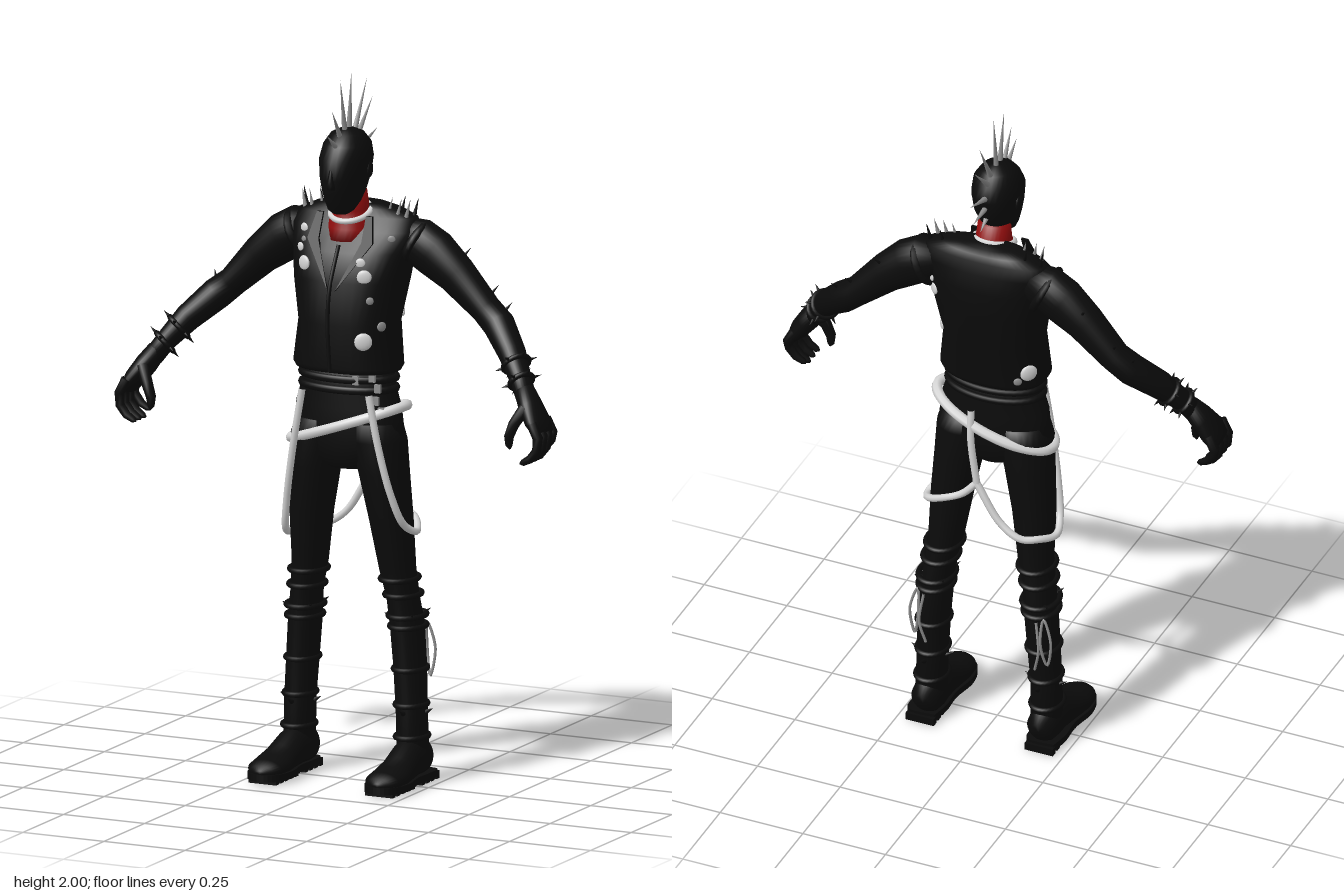
import * as THREE from 'three';

const V = (x, y, z) => new THREE.Vector3(x, y, z);
const mat = (name, color) => Object.assign(new THREE.MeshStandardMaterial({ color }), { name });

// Torso cross-sections: x, y, z, half width, half depth
const TORSO = [
  [0, 1.165, -.008, .15, .1], [0, 1.18, -.008, .158, .107], [0, 1.3, -.015, .143, .115],
  [0, 1.42, -.03, .165, .122], [0, 1.5, -.045, .178, .107], [0, 1.555, -.062, .192, .082],
  [0, 1.59, -.072, .178, .06], [0, 1.61, -.075, .13, .05], [0, 1.622, -.075, .08, .035],
];

// Skin over elliptical rings; level rings lie flat, others follow the path with depth axis ref
function loft(rows, { level = true, ref = V(0, 0, 1), n = 28, p = 1 } = {}) {
  const pos = [], idx = [], pw = a => Math.sign(a) * Math.abs(a) ** p;
  const c = rows.map(r => V(r[0], r[1], r[2])), m = rows.length;
  rows.forEach((r, i) => {
    let u = V(1, 0, 0), v = V(0, 0, -1);
    if (!level) {
      const t = c[Math.min(i + 1, m - 1)].clone().sub(c[Math.max(i - 1, 0)]).normalize();
      u = ref.clone().cross(t).normalize();
      v = t.clone().cross(u);
    }
    for (let j = 0; j < n; j++) {
      const a = j / n * Math.PI * 2;
      const q = c[i].clone().addScaledVector(u, pw(Math.cos(a)) * r[3]).addScaledVector(v, pw(Math.sin(a)) * r[4]);
      pos.push(q.x, q.y, q.z);
    }
  });
  pos.push(...c[0].toArray(), ...c[m - 1].toArray());
  for (let j = 0; j < n; j++) {
    const k = (j + 1) % n;
    for (let i = 0; i < m - 1; i++) {
      const a = i * n + j, b = i * n + k;
      idx.push(a, b, b + n, a, b + n, a + n);
    }
    idx.push(m * n, k, j, m * n + 1, (m - 1) * n + j, (m - 1) * n + k);
  }
  const g = new THREE.BufferGeometry();
  g.setAttribute('position', new THREE.Float32BufferAttribute(pos, 3));
  g.setIndex(idx);
  g.computeVertexNormals();
  return g;
}

const tube = (pts, r, closed = false, seg = 48) =>
  new THREE.TubeGeometry(new THREE.CatmullRomCurve3(pts, closed), seg, r, 8, closed);

export function createModel() {
  const model = new THREE.Group();
  const black = mat('black cloth', 0x0b0b0b), red = mat('red', 0x8f0c0c);
  const white = mat('white', 0xd6d6d6), steel = mat('steel', 0x8e8e8e);
  const add = (name, geo, m, parent = model) => {
    const mesh = new THREE.Mesh(geo, m);
    mesh.name = name;
    parent.add(mesh);
    return mesh;
  };
  const spike = (name, base, tip, r, m) => {
    const d = tip.clone().sub(base);
    const s = add(name, new THREE.ConeGeometry(r, d.length(), 8), m);
    s.position.copy(base).addScaledVector(d, .5);
    s.quaternion.setFromUnitVectors(V(0, 1, 0), d.normalize());
  };

  // Head and crest of spikes
  add('head', loft([
    [0, 1.608, .045, .022, .018], [0, 1.618, .04, .037, .034], [0, 1.64, .028, .048, .056],
    [0, 1.67, .02, .056, .078], [0, 1.71, .012, .064, .095], [0, 1.76, .007, .07, .096],
    [0, 1.8, 0, .064, .078], [0, 1.828, 0, .045, .052], [0, 1.842, 0, .016, .018],
  ]), black);
  add('nose', loft([[0, 1.685, .098, .012, .012], [0, 1.7, .102, .012, .014], [0, 1.74, .1, .005, .006]], { n: 10 }), black);
  for (const s of [-1, 1]) {
    const ear = add('ear', new THREE.SphereGeometry(.02, 12, 8), black);
    ear.scale.set(.35, 1.2, .8);
    ear.position.set(s * .066, 1.73, -.005);
  }
  const hub = V(0, 1.745, 0);
  for (const [z, y] of [[.13, 1.845], [.095, 1.905], [.045, 1.985], [-.025, 2], [-.12, 1.96],
    [-.155, 1.9], [-.185, 1.805], [-.165, 1.735], [-.115, 1.68]]) {
    const tip = V(0, y, z), dir = tip.clone().sub(hub).normalize();
    spike('crestSpike', hub.clone().addScaledVector(dir, .078), tip, .009, steel);
  }

  // Neck, shirt and choker
  add('redShirt', loft([
    [0, 1.528, -.02, .062, .07], [0, 1.56, -.025, .066, .064], [0, 1.595, -.027, .058, .058],
    [0, 1.61, -.025, .05, .052], [0, 1.665, -.018, .046, .045],
  ]), red);
  const choker = add('choker', new THREE.TorusGeometry(.056, .0085, 8, 36), white);
  choker.position.set(0, 1.602, -.02);
  choker.rotation.x = Math.PI / 2 + .35;

  // Jacket with lapels, zip edge, armholes
  add('jacket', loft(TORSO, { n: 40, p: .85 }), black);
  for (const s of [-1, 1]) {
    const shape = new THREE.Shape([[.012, 1.4], [.1, 1.53], [.085, 1.6], [.066, 1.6], [.066, 1.53]]
      .map(([x, y]) => new THREE.Vector2(s * x, y)));
    const geo = new THREE.ExtrudeGeometry(shape, { depth: .008, bevelEnabled: false });
    const p = geo.attributes.position;
    for (let i = 0; i < p.count; i++) p.setZ(i, p.getZ(i) + .095 - Math.max(0, p.getY(i) - 1.4) * .42);
    geo.computeVertexNormals();
    add('lapel', geo, black);
    const hole = add('armhole', new THREE.TorusGeometry(.062, .012, 8, 24), black);
    hole.position.set(s * .18, 1.515, -.072);
    hole.rotation.set(0, Math.PI / 2, s * -.45, 'ZYX');
  }
  add('zipEdge', tube([V(0, 1.52, .055), V(-.008, 1.4, .096), V(-.01, 1.3, .103), V(-.005, 1.17, .1)], .006), black);

  // Badges sit on the jacket surface
  const badge = (x, y, r, front, m = white) => {
    let i = TORSO.findIndex(t => t[1] > y);
    const a = TORSO[i - 1], b = TORSO[i], k = (y - a[1]) / (b[1] - a[1]);
    const [zc, rx, rz] = [2, 3, 4].map(j => a[j] + (b[j] - a[j]) * k), e = 2 / .85;
    const z = rz * (1 - Math.min(.98, Math.abs(x / rx) ** e)) ** (1 / e) * front;
    const d = add('badge', new THREE.SphereGeometry(r, 14, 10), m);
    d.scale.z = .35;
    d.position.set(x, y, zc + z);
    d.quaternion.setFromUnitVectors(V(0, 0, 1), V(x / rx ** 2, 0, z / rz ** 2).normalize());
  };
  for (const [x, y, r, f, m] of [
    [-.128, 1.547, .014, 1], [-.125, 1.5, .013, 1], [-.103, 1.46, .022, 1], [-.12, 1.52, .009, 1, steel],
    [.072, 1.477, .014, 1], [.088, 1.44, .021, 1], [.105, 1.375, .011, 1, steel], [.128, 1.3, .014, 1, steel],
    [.09, 1.26, .025, 1], [.14, 1.54, .011, 1, steel],
    [.15, 1.49, .014, -1], [.14, 1.455, .018, -1], [.13, 1.32, .015, -1], [-.13, 1.225, .025, -1], [-.105, 1.2, .012, -1, steel],
  ]) badge(x, y, r, f, m);

  // Shoulder spikes
  for (const s of [-1, 1]) for (const [x, z, m] of [[.1, -.05, steel], [.13, -.045, steel], [.155, -.05, steel], [.12, -.09, black], [.165, -.08, black]])
    spike('shoulderSpike', V(s * x, 1.59, z), V(s * (x + .012), 1.645, z - .005), .007, m);

  // Hips and trousers
  add('hips', loft([
    [0, .885, -.012, .06, .05], [0, .915, -.012, .13, .076], [0, .97, -.012, .168, .086],
    [0, 1.06, -.01, .158, .084], [0, 1.12, -.01, .14, .08], [0, 1.2, -.01, .132, .08],
  ], { n: 36 }), black);
  for (const y of [1.115, 1.145]) {
    const w = add('waistband', new THREE.TorusGeometry(.14, .011, 8, 40), black);
    w.rotation.x = Math.PI / 2;
    w.scale.y = .61;
    w.position.set(0, y, -.01);
  }
  for (const [x, y] of [[.06, 1.145], [.105, 1.155], [.12, 1.125], [.115, 1.09], [.13, 1.06]])
    add('buckle', new THREE.BoxGeometry(.018, .024, .009), steel).position.set(x, y, .084 - x * .25);

  for (const s of [-1, 1]) {
    add('leg', loft([
      [.175, .05, -.055, .044, .05], [.172, .2, -.052, .043, .05], [.165, .33, -.056, .044, .057],
      [.157, .44, -.055, .045, .06], [.148, .52, -.047, .043, .057], [.135, .6, -.04, .049, .06],
      [.122, .75, -.024, .06, .071], [.105, .88, -.015, .069, .081], [.09, .97, -.01, .08, .084], [.08, 1.02, -.01, .075, .08],
    ].map(([x, ...r]) => [s * x, ...r])), black);
    // Folds and strapped boot shaft
    for (const [x, y, z, r] of [[.14, .575, -.042, .05], [.148, .53, -.048, .048], [.157, .47, -.055, .05], [.159, .44, -.056, .048],
      [.166, .32, -.056, .044], [.171, .22, -.052, .042], [.174, .13, -.05, .043]]) {
      const t = add('bootStrap', new THREE.TorusGeometry(r, .008, 8, 28), black);
      t.rotation.x = Math.PI / 2;
      t.scale.y = 1.25;
      t.position.set(s * x, y, z);
    }
    for (let i = 0; i < 8; i++) {
      const a = i / 8 * Math.PI * 2, y = i % 2 ? .47 : .2, c = Math.cos(a), d = Math.sin(a), x = s * (i % 2 ? .157 : .172);
      spike('bootSpike', V(x + c * .043, y, -.055 + d * .055), V(x + c * .064, y + .012, -.055 + d * .078), .007, black);
    }
    // Boot foot, sole and heel lugs
    add('bootFoot', loft([
      [.175, .06, -.112, .025, .03], [.175, .065, -.095, .042, .05], [.175, .07, -.05, .047, .062], [.177, .066, -.005, .046, .056],
      [.18, .05, .05, .05, .042], [.181, .04, .1, .056, .034], [.181, .036, .145, .053, .03], [.181, .032, .17, .038, .022], [.181, .03, .18, .015, .01],
    ].map(([x, ...r]) => [s * x, ...r]), { level: false, ref: V(0, 1, 0) }), black);
    const outline = new THREE.Shape(new THREE.SplineCurve([[-.04, .11], [.04, .11], [.05, .05], [.048, -.02], [.061, -.1],
      [.045, -.165], [0, -.188], [-.045, -.165], [-.061, -.1], [-.048, -.02], [-.05, .05], [-.04, .11]]
      .map(([x, y]) => new THREE.Vector2(x, y))).getPoints(50));
    const sole = add('sole', new THREE.ExtrudeGeometry(outline, { depth: .02, bevelEnabled: false }), black);
    sole.rotation.x = -Math.PI / 2;
    sole.position.set(s * .18, .01, 0);
    for (let i = 0; i < 10; i++) if (i !== 4)
      add('lug', new THREE.BoxGeometry(.085, .022, .018), black).position.set(s * .18, .011, -.113 + i * .03);
    // Dangling calf laces
    add('calfLace', tube([V(s * .19, .44, -.112), V(s * .213, .37, -.115), V(s * .2, .29, -.11), V(s * .185, .36, -.122)], .004, true), steel);
    add('calfLace', tube([V(s * .17, .43, -.118), V(s * .18, .34, -.125), V(s * .165, .27, -.115)], .004), steel);
  }

  // Slanted white belt
  add('belt', tube(Array.from({ length: 20 }, (_, i) => {
    const a = i / 20 * Math.PI * 2;
    return V(Math.cos(a) * .173, 1.01 + Math.cos(a) * .06, -.01 + Math.sin(a) * .093);
  }), .015, true, 80), white);
  // Hanging straps meeting behind
  const fork = V(.012, .84, -.112);
  add('rightStrap', tube([V(-.1, 1.11, .08), V(-.13, .95, .074), V(-.16, .8, .052), V(-.18, .7, .022), V(-.192, .675, -.03),
    V(-.165, .685, -.085), V(-.12, .69, -.112), V(-.06, .73, -.115), fork], .0105, false, 90), white);
  add('leftStrap', tube([V(.105, 1.11, .08), V(.13, .97, .074), V(.16, .83, .055), V(.18, .74, .015), V(.194, .712, -.035),
    V(.165, .735, -.09), V(.11, .765, -.113), V(.055, .795, -.115), fork], .0105, false, 90), white);
  add('backStrap', tube([V(.035, 1.07, -.1), V(.03, .98, -.112), fork], .0105), white);

  // Arms and hands
  for (const s of [-1, 1]) {
    const flip = rows => rows.map(([x, ...r]) => [s * x, ...r]);
    add('arm', loft(flip([
      [.14, 1.54, -.075, .05, .05], [.18, 1.525, -.075, .066, .058], [.23, 1.495, -.075, .068, .058], [.3, 1.44, -.075, .056, .051],
      [.39, 1.352, -.075, .042, .045], [.435, 1.315, -.064, .045, .045], [.5, 1.25, -.015, .038, .041], [.55, 1.185, .028, .029, .031], [.575, 1.145, .047, .028, .032],
    ]), { level: false }), black);
    add('palm', loft(flip([
      [.565, 1.165, .04, .028, .03], [.592, 1.125, .055, .031, .042], [.62, 1.085, .066, .028, .054], [.64, 1.055, .07, .018, .05],
    ]), { level: false }), black);
    for (let i = 0; i < 4; i++) {
      const z = .026 + i * .03, k = i === 0 ? .015 : 0;
      add('finger', loft(flip([
        [.625, 1.09, z, .014, .014], [.645, 1.05, z, .015, .014], [.642, 1.015 + k, z + .002, .013, .013],
        [.622, .99 + k, z + .003, .012, .012], [.6, .978 + k, z + .004, .009, .009], [.592, .975 + k, z + .004, .003, .003],
      ]), { level: false, n: 10 }), black);
    }
    add('thumb', loft(flip([
      [.59, 1.125, .085, .018, .018], [.565, 1.08, .105, .016, .016], [.552, 1.045, .108, .014, .014], [.552, 1.02, .108, .01, .01], [.555, 1.01, .108, .003, .003],
    ]), { level: false, n: 10 }), black);
    // Spiked cuffs
    for (const [x, y, z, r] of [[.52, 1.225, 0, .037], [.55, 1.185, .028, .033]]) {
      const dir = V(s * .6, -.66, .45).normalize(), q = new THREE.Quaternion().setFromUnitVectors(V(0, 0, 1), dir);
      const cuff = add('cuff', new THREE.TorusGeometry(r, .008, 8, 24), black);
      cuff.position.set(s * x, y, z);
      cuff.quaternion.copy(q);
      for (let i = 0; i < 6; i++) {
        const a = i / 6 * Math.PI * 2, out = V(Math.cos(a), Math.sin(a), 0).applyQuaternion(q);
        spike('cuffSpike', cuff.position.clone().addScaledVector(out, r), cuff.position.clone().addScaledVector(out, r + .026), .006, black);
      }
    }
    for (const [x, y, z] of [[.3, 1.48, -.1], [.39, 1.385, -.09], [.44, 1.345, -.075]])
      spike('sleeveSpike', V(s * x, y, z), V(s * (x + .02), y + .03, z - .025), .007, black);
  }
  return model;
}
